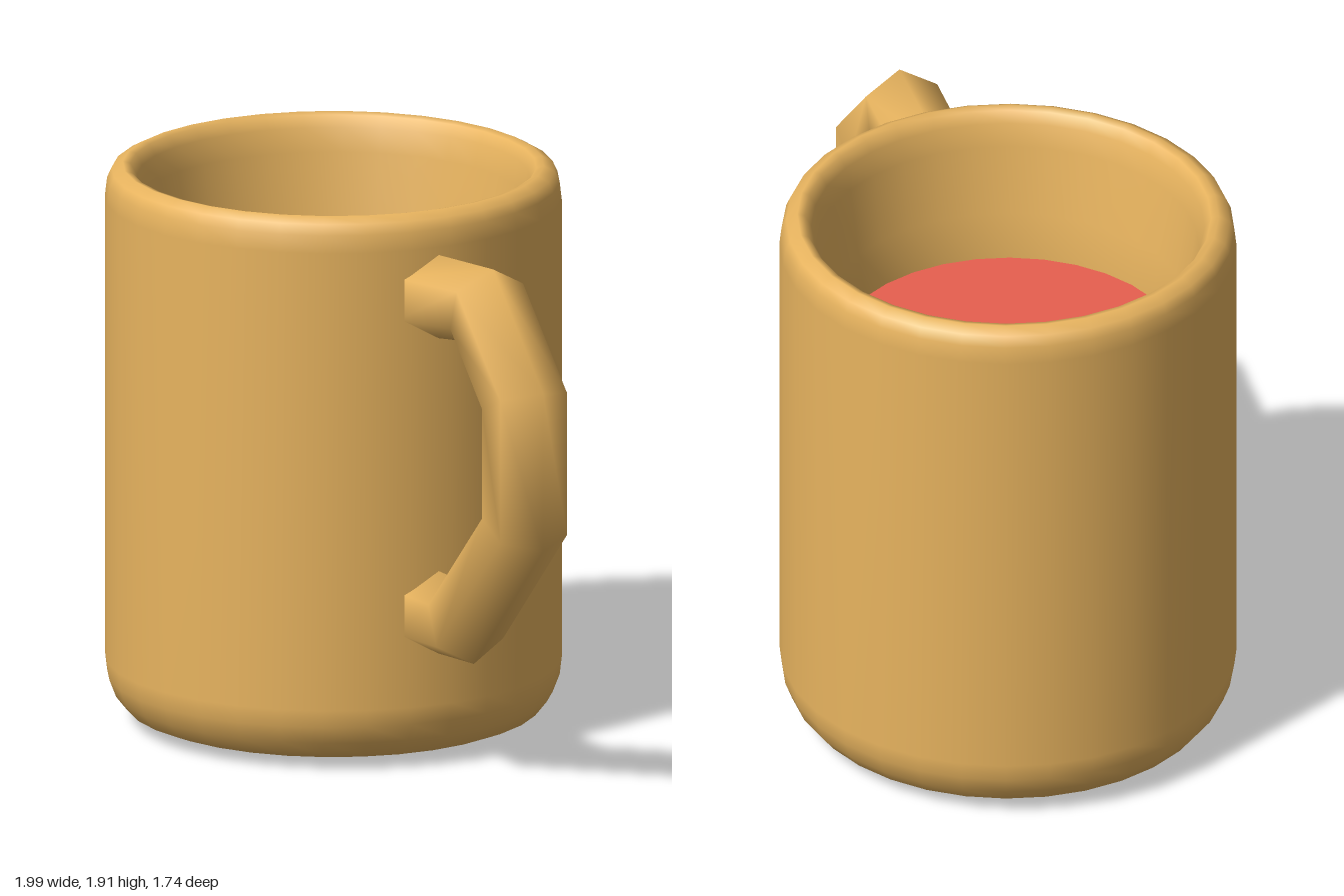
import * as THREE from 'three';

const v2 = (pts) => pts.map(([x, y]) => new THREE.Vector2(x, y));

// Sweeps a regular polygon along a flat path of [x, y] points, with mitred corners
function sweep(path, radius, sides) {
  const pts = v2(path);
  const pos = [];
  const idx = [];
  const last = pts.length - 1;
  pts.forEach((p, i) => {
    const before = pts[i].clone().sub(pts[Math.max(i - 1, 0)]).normalize();
    const after = pts[Math.min(i + 1, last)].clone().sub(pts[i]).normalize();
    const t = before.add(after).normalize();
    for (let j = 0; j < sides; j++) {
      const a = (j / sides) * Math.PI * 2;
      const n = radius * Math.cos(a);
      pos.push(p.x - t.y * n, p.y + t.x * n, radius * Math.sin(a));
      if (i < last) {
        const k = (j + 1) % sides;
        const a0 = i * sides + j, b0 = i * sides + k;
        idx.push(a0, b0, a0 + sides, b0, b0 + sides, a0 + sides);
      }
    }
  });
  const geo = new THREE.BufferGeometry();
  geo.setAttribute('position', new THREE.Float32BufferAttribute(pos, 3));
  geo.setIndex(idx);
  geo.computeVertexNormals();
  return geo;
}

export function createModel() {
  const mug = new THREE.Group();
  mug.name = 'mug';
  mug.position.set(-0.235, 0, -0.115);

  const clay = new THREE.MeshStandardMaterial({ color: 0xe8b45f, side: THREE.DoubleSide });
  const drink = new THREE.MeshStandardMaterial({ color: 0xe85f4f });

  // Cup: up the outside, over the rounded rim, down the tapering inside
  const profile = v2([
    [0, 0], [0.4, 0.008], [0.645, 0.03], [0.695, 0.05], [0.735, 0.1], [0.758, 0.16], [0.765, 0.22],
    [0.765, 1.8], [0.758, 1.86], [0.742, 1.895], [0.705, 1.915], [0.68, 1.908], [0.658, 1.87],
    [0.64, 1.79], [0.605, 1.55], [0.58, 1.39], [0.56, 0.3], [0.5, 0.2], [0, 0.18],
  ]);
  const cup = new THREE.Mesh(new THREE.LatheGeometry(profile, 32), clay);
  cup.name = 'cup';
  mug.add(cup);

  // Liquid surface
  const liquid = new THREE.Mesh(new THREE.CircleGeometry(0.58, 32), drink);
  liquid.name = 'liquid';
  liquid.rotation.x = -Math.PI / 2;
  liquid.position.y = 1.39;
  mug.add(liquid);

  // Six-sided handle, its ends sunk in the wall, turned toward the front left
  const path = [[0.69, 1.62], [1.107, 1.675], [1.38, 1.41], [1.38, 0.975], [0.955, 0.55], [0.69, 0.535]];
  const handle = new THREE.Mesh(sweep(path, 0.145, 6), clay);
  handle.name = 'handle';
  handle.rotation.y = -0.65;
  mug.add(handle);

  const model = new THREE.Group();
  model.name = 'model';
  model.add(mug);
  return model;
}
